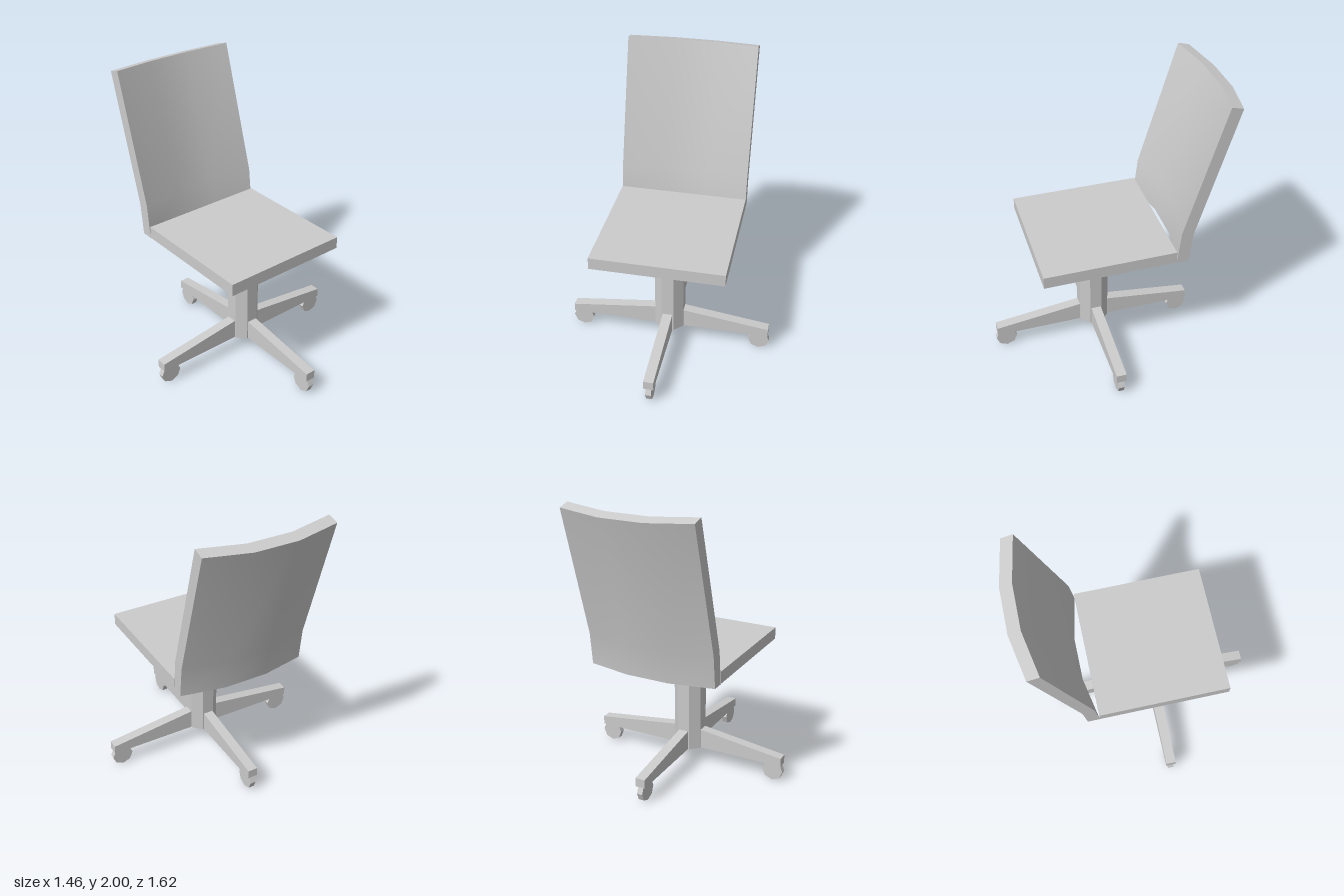
import * as THREE from 'three';
import { toCreasedNormals } from 'three/addons/utils/BufferGeometryUtils.js';

const grey = new THREE.MeshStandardMaterial({ color: 0xcccccc });
const faceted = new THREE.MeshStandardMaterial({ color: 0xcccccc, flatShading: true });

function part(name, geometry, material = faceted) {
  const mesh = new THREE.Mesh(geometry, material);
  mesh.name = name;
  return mesh;
}

// Curved back: a segmented box bent along a side profile and bowed backwards in the middle
function backrestGeometry() {
  const profile = [ // front edge z, y and the backward direction at each level
    { z: -0.38, y: 0.863, dz: -1, dy: 0 },
    { z: -0.405, y: 1.1, dz: -1, dy: -0.17 },
    { z: -0.67, y: 2.0, dz: -0.965, dy: -0.26 },
  ];
  const geometry = new THREE.BoxGeometry(0.91, 2, 1, 3, 2, 1);
  const pos = geometry.attributes.position;
  for (let i = 0; i < pos.count; i++) {
    const level = profile[Math.round(pos.getY(i)) + 1];
    const bow = Math.abs(pos.getX(i)) < 0.3 ? 0.06 : 0;
    const depth = bow + (pos.getZ(i) < 0 ? 0.083 : 0);
    pos.setY(i, level.y + level.dy * depth);
    pos.setZ(i, level.z + level.dz * depth);
  }
  return toCreasedNormals(geometry, 0.6);
}

// Tapered foot running out along +x
function footGeometry() {
  const outline = new THREE.Shape([
    new THREE.Vector2(0.1, 0.125),
    new THREE.Vector2(0.72, 0.125),
    new THREE.Vector2(0.72, 0.187),
    new THREE.Vector2(0.1, 0.267),
  ]);
  const geometry = new THREE.ExtrudeGeometry(outline, { depth: 0.07, bevelEnabled: false });
  return geometry.translate(0, 0, -0.035);
}

export function createModel() {
  const chair = new THREE.Group();
  chair.name = 'officeChair';

  // Seat and back
  const seat = part('seat', new THREE.BoxGeometry(0.91, 0.085, 0.91));
  seat.position.set(0, 0.9075, 0.075);
  chair.add(seat, part('backrest', backrestGeometry(), grey));

  // Base: octagonal column with four wheeled feet
  const base = new THREE.Group();
  base.name = 'base';
  base.position.z = 0.08;
  const radius = 0.103 / Math.cos(Math.PI / 8);
  const columnGeometry = new THREE.CylinderGeometry(radius, radius, 0.745, 8);
  columnGeometry.rotateY(Math.PI / 8);
  const column = part('column', columnGeometry);
  column.position.y = 0.4975;
  base.add(column);

  const foot = footGeometry();
  const wheel = new THREE.CylinderGeometry(0.075, 0.075, 0.04, 8).rotateX(Math.PI / 2);
  for (let i = 0; i < 4; i++) {
    const leg = new THREE.Group();
    leg.name = 'leg' + (i + 1);
    leg.rotation.y = i * Math.PI / 2;
    const caster = part('caster', wheel);
    caster.position.set(0.655, 0.077, 0);
    leg.add(part('foot', foot), caster);
    base.add(leg);
  }
  chair.add(base);
  return chair;
}
